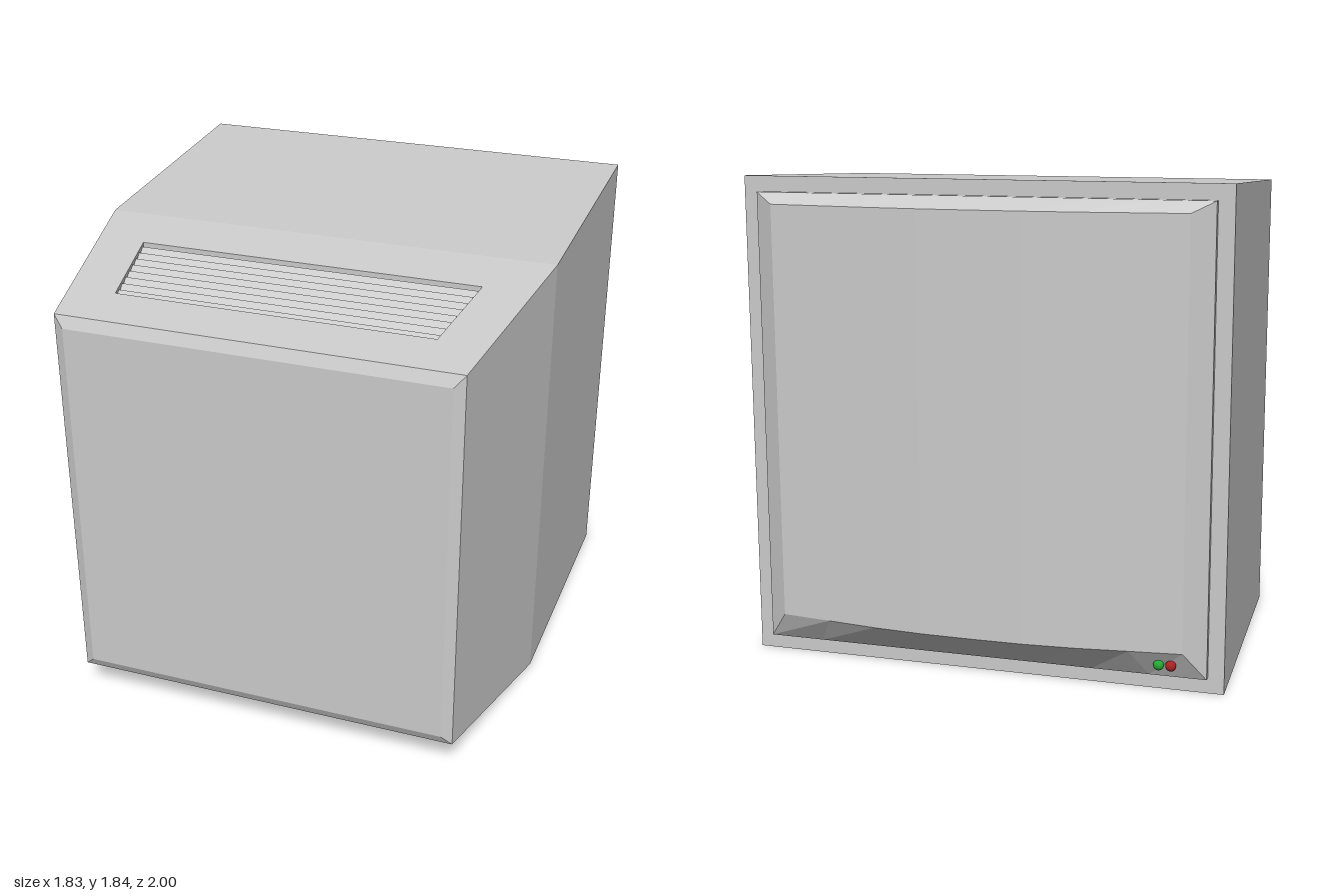
import * as THREE from 'three';

const grey = new THREE.MeshStandardMaterial({ color: 0xcccccc, flatShading: true });
const green = new THREE.MeshStandardMaterial({ color: 0x22aa33 });
const red = new THREE.MeshStandardMaterial({ color: 0xaa2222 });

function named(name, geometry, material = grey) {
  const mesh = new THREE.Mesh(geometry, material);
  mesh.name = name;
  return mesh;
}

// Flat faces from a list of four-cornered quads
function quadGeometry(quads) {
  const pos = [];
  for (const [a, b, c, d] of quads) pos.push(...a, ...b, ...c, ...a, ...c, ...d);
  const g = new THREE.BufferGeometry();
  g.setAttribute('position', new THREE.Float32BufferAttribute(pos, 3));
  g.computeVertexNormals();
  return g;
}

// Quads between closed rings ordered from low z to high z
function loft(rings, skip = () => false) {
  const quads = [];
  for (let s = 0; s + 1 < rings.length; s++) {
    const A = rings[s], B = rings[s + 1];
    A.forEach((p, i) => {
      const j = (i + 1) % A.length;
      if (!skip(s, i)) quads.push([p, A[j], B[j], B[i]]);
    });
  }
  return quads;
}

const rect = (z, x, y0, y1) => [[-x, y0, z], [x, y0, z], [x, y1, z], [-x, y1, z]];

// Sloping panel that carries the vent
const slopeY = (z) => 1.79 - (z - 0.23) / 0.75 * 0.125;
const ventX = (z) => 0.67 - (z - 0.44) / 0.36 * 0.06;

function bodyGeometry() {
  const rings = [
    rect(-0.86, 0.915, 0, 1.838),
    rect(0.23, 0.895, 0.005, 1.79),
    rect(0.98, 0.765, 0.13, 1.665),
    rect(1.0, 0.725, 0.17, 1.62),
  ];
  const quads = loft(rings, (s, i) => s === 1 && i === 2);
  quads.push(rings[3], [...rings[0]].reverse());
  // Sloping top panel as a frame around the vent opening
  const outer = [rings[1][2], rings[1][3], rings[2][3], rings[2][2]];
  const hole = [[0.44, 1], [0.44, -1], [0.8, -1], [0.8, 1]]
    .map(([z, side]) => [side * ventX(z), slopeY(z), z]);
  const floor = hole.map(([x, y, z]) => [x, y - 0.07, z]);
  for (let i = 0; i < 4; i++) {
    const j = (i + 1) % 4;
    quads.push([outer[i], outer[j], hole[j], hole[i]]);
    quads.push([hole[i], hole[j], floor[j], floor[i]]);
  }
  quads.push(floor);
  return quadGeometry(quads);
}

function screenGeometry() {
  const depth = [-1.0, -0.998, -0.985, -0.962, -0.94]; // centre to edge
  const steps = [-4, -3, -2, -1, 0, 1, 2, 3, 4];
  const ring = (halfWidth, y0, y1, zAt) => [
    ...steps.map((k) => [k / 4 * halfWidth, y0, zAt(k)]),
    ...steps.map((k) => [-k / 4 * halfWidth, y1, zAt(k)]),
  ];
  const face = ring(0.775, 0.17, 1.74, (k) => depth[Math.abs(k)]);
  const quads = loft([
    face,
    ring(0.855, 0.06, 1.78, () => -0.885),
    ring(0.855, 0.06, 1.78, () => -0.86),
  ]);
  for (let i = 0; i < 8; i++) quads.push([face[i], face[17 - i], face[16 - i], face[i + 1]]);
  return quadGeometry(quads);
}

export function createModel() {
  const model = new THREE.Group();
  model.name = 'monitor';
  model.add(named('housing', bodyGeometry()));
  model.add(named('screen', screenGeometry()));

  // Louvre slats tilted down towards the front
  const vent = new THREE.Group();
  vent.name = 'ventSlats';
  for (let i = 0; i < 8; i++) {
    const z = 0.474 + i * 0.0435;
    const slat = named('slat', new THREE.BoxGeometry(2 * ventX(z), 0.008, 0.044));
    slat.position.set(0, slopeY(z) - 0.022, z);
    slat.rotation.x = 0.75;
    vent.add(slat);
  }
  model.add(vent);

  // Indicator lamps on the lower screen bevel
  [['greenLamp', green, -0.685], ['redLamp', red, -0.73]].forEach(([name, mat, x]) => {
    const lamp = named(name, new THREE.SphereGeometry(0.02, 16, 12), mat);
    lamp.position.set(x, 0.115, -0.922);
    model.add(lamp);
  });
  return model;
}
